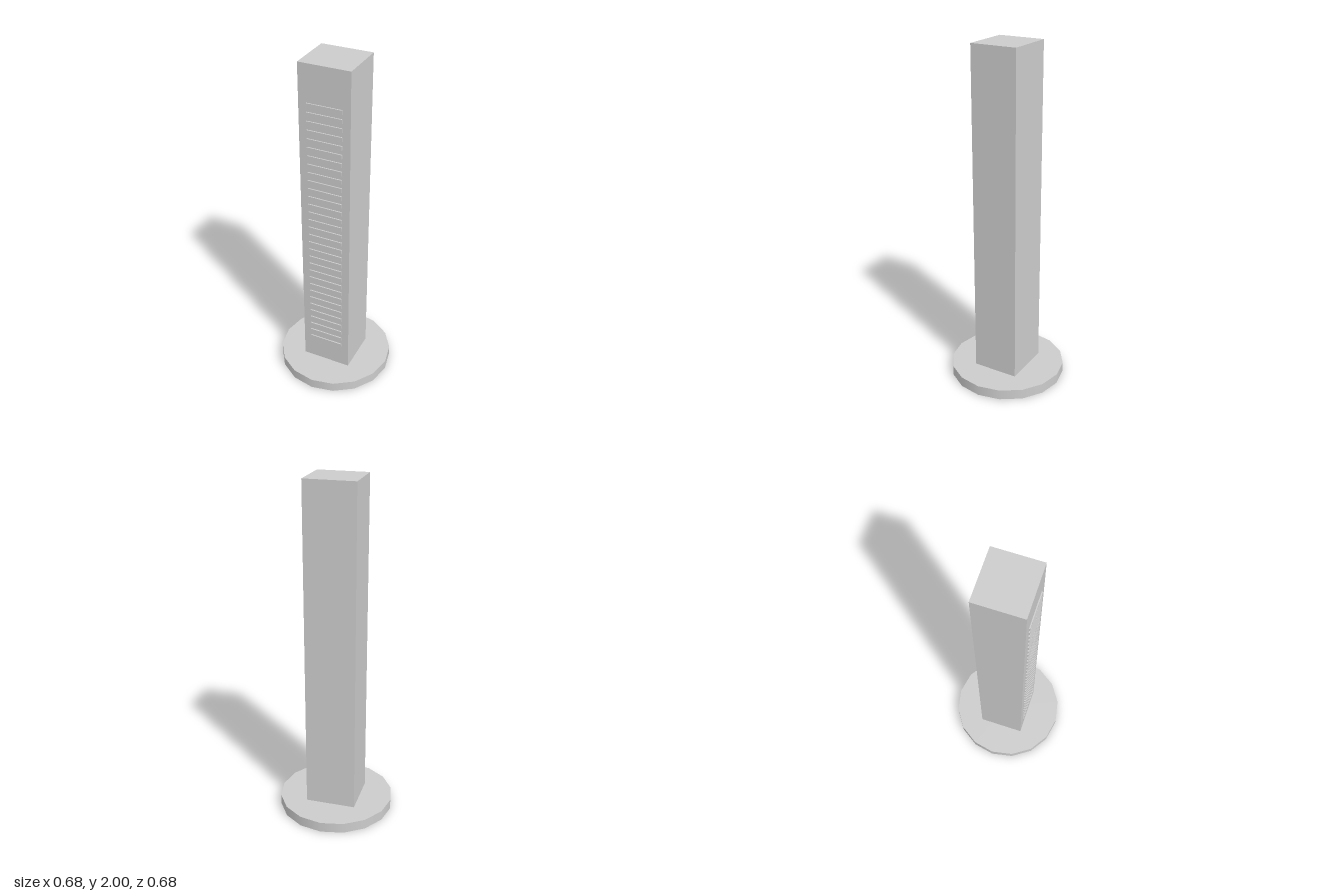
import * as THREE from 'three';

export function createModel() {
  const model = new THREE.Group();
  const grey = new THREE.MeshStandardMaterial({ color: 0xcccccc });
  grey.name = 'light grey';

  function add(parent, name, geometry, x, y, z) {
    const mesh = new THREE.Mesh(geometry, grey);
    mesh.name = name;
    mesh.position.set(x, y, z);
    parent.add(mesh);
  }

  // Round foot, sixteen sides
  add(model, 'base', new THREE.CylinderGeometry(0.341, 0.341, 0.06, 16), 0, 0.03, 0);

  // Tall rectangular body
  const bodyBottom = 0.055, bodyTop = 2;
  add(model, 'body', new THREE.BoxGeometry(0.295, bodyTop - bodyBottom, 0.272),
    0, (bodyBottom + bodyTop) / 2, 0);

  // Column of thin grille slats on the front
  const grille = new THREE.Group();
  grille.name = 'grille';
  const slat = new THREE.BoxGeometry(0.203, 0.025, 0.008);
  const count = 32, lowest = 0.212, highest = 1.776;
  for (let i = 0; i < count; i++) {
    const y = lowest + (highest - lowest) * i / (count - 1);
    add(grille, 'slat', slat, 0, y, 0.139);
  }
  model.add(grille);

  return model;
}
